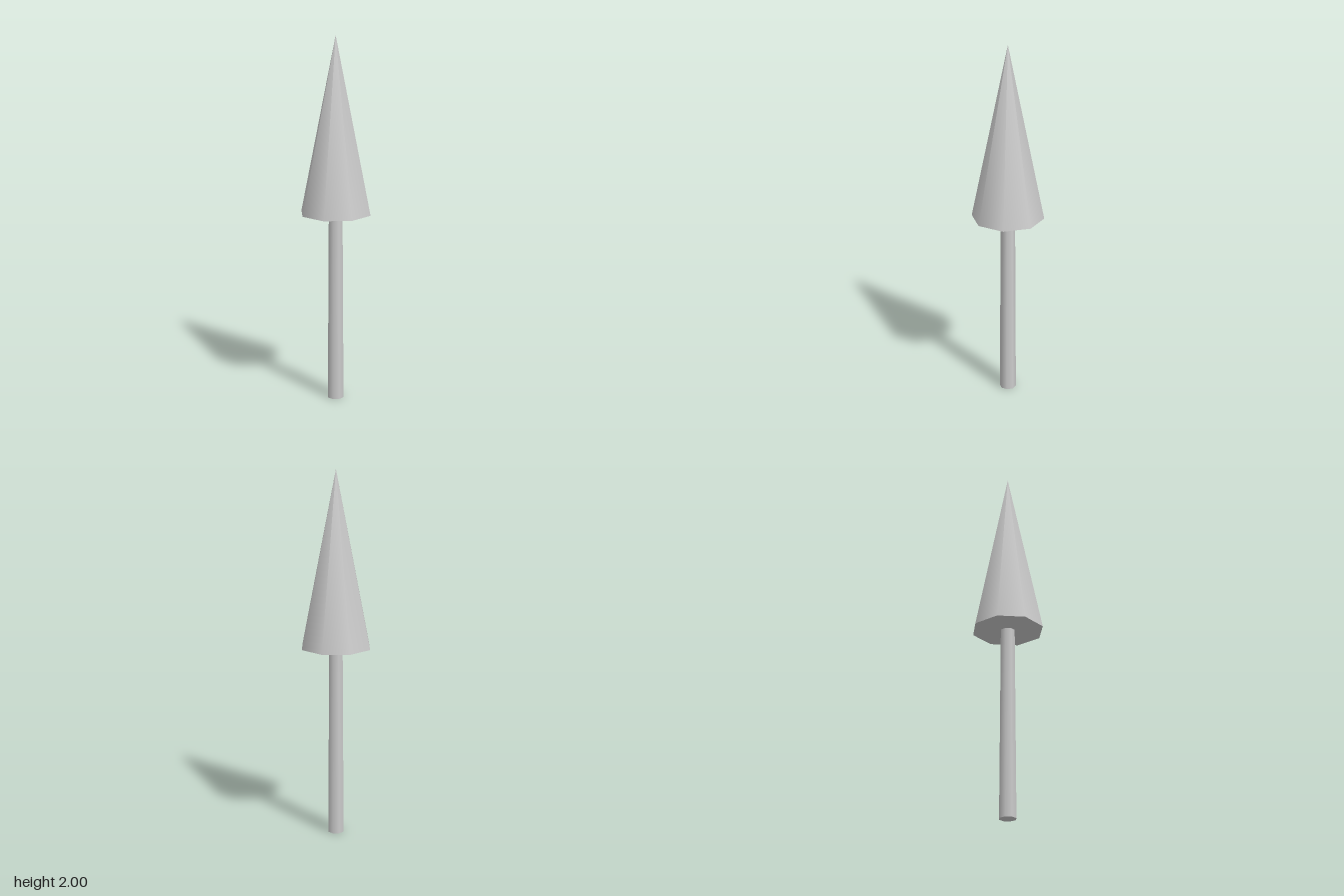
import * as THREE from 'three';

const SIDES = 8;

export function createModel() {
  const model = new THREE.Group();
  const material = new THREE.MeshStandardMaterial({ color: 0xcccccc });

  // Adds a smooth-shaded round part standing between two heights
  function addPart(name, bottomRadius, topRadius, y0, y1) {
    const geometry = new THREE.CylinderGeometry(topRadius, bottomRadius, y1 - y0, SIDES);
    const mesh = new THREE.Mesh(geometry, material);
    mesh.name = name;
    mesh.position.y = (y0 + y1) / 2;
    model.add(mesh);
  }

  // Slightly tapered trunk
  addPart('trunk', 0.046, 0.039, 0, 1.06);

  // Tall pointed crown, closed underneath
  addPart('crown', 0.196, 0, 1.05, 2);

  return model;
}
